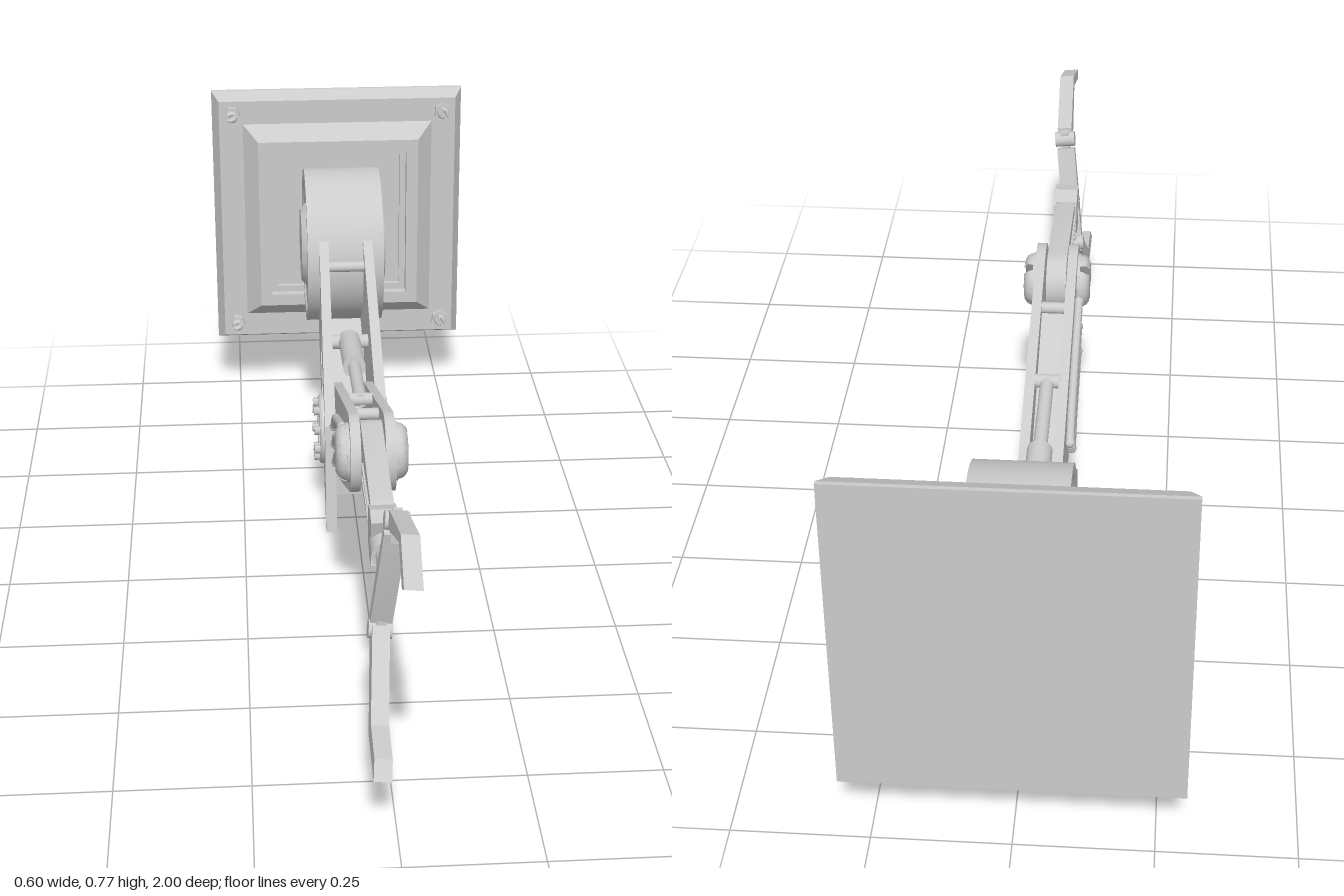
import * as THREE from 'three';
import { toCreasedNormals } from 'three/addons/utils/BufferGeometryUtils.js';

const mat = new THREE.MeshStandardMaterial({ color: 0xcccccc });
const flat = new THREE.MeshStandardMaterial({ color: 0xcccccc, flatShading: true });

function add(parent, name, geo, material = mat) {
  const mesh = new THREE.Mesh(geo, material);
  mesh.name = name;
  parent.add(mesh);
  return mesh;
}

// Side outline given as [z, y] points, extruded across x from x0 to x1
function slab(points, x0, x1, hole) {
  const toV = ([z, y]) => new THREE.Vector2(-z, y);
  const shape = new THREE.Shape(points.map(toV));
  if (hole) shape.holes.push(new THREE.Path(hole.map(toV)));
  const geo = new THREE.ExtrudeGeometry(shape, { depth: x1 - x0, bevelEnabled: false });
  geo.rotateY(Math.PI / 2).translate(x0, 0, 0);
  return toCreasedNormals(geo, 0.5);
}

// Outline wrapped around two circles, as [z, y] points
function link([az, ay], ra, [bz, by], rb, n = 14) {
  const d = Math.hypot(bz - az, by - ay), t = Math.atan2(by - ay, bz - az);
  const b = Math.acos((ra - rb) / d), pts = [];
  for (let i = 0; i <= n; i++) {
    const a = t + b + (2 * Math.PI - 2 * b) * i / n;
    pts.push([az + ra * Math.cos(a), ay + ra * Math.sin(a)]);
  }
  for (let i = 0; i <= n; i++) {
    const a = t - b + 2 * b * i / n;
    pts.push([bz + rb * Math.cos(a), by + rb * Math.sin(a)]);
  }
  return pts;
}

// Part turned about the x axis from [radius, x] points; dir -1 faces it to -x
function turned(parent, name, profile, x, y, z, dir = 1, sides = 40) {
  const geo = new THREE.LatheGeometry(profile.map(p => new THREE.Vector2(...p)), sides).rotateZ(-Math.PI / 2);
  const mesh = add(parent, name, toCreasedNormals(geo, 0.4));
  mesh.position.set(x, y, z);
  if (dir < 0) mesh.rotation.y = Math.PI;
  return mesh;
}

// Straight cylinder between two points
function rod(parent, name, a, b, r, sides = 20) {
  const A = new THREE.Vector3(...a), B = new THREE.Vector3(...b), dir = B.clone().sub(A);
  const mesh = add(parent, name, new THREE.CylinderGeometry(r, r, dir.length(), sides));
  mesh.position.copy(A).add(B).multiplyScalar(0.5);
  mesh.quaternion.setFromUnitVectors(new THREE.Vector3(0, 1, 0), dir.normalize());
  return mesh;
}

// Rounded screw head facing +z, split by a slot
function slottedHead(r, h, gap, bevel) {
  const head = new THREE.Group();
  const a = Math.asin(gap / r);
  for (const turn of [0, Math.PI]) {
    const shape = new THREE.Shape().absarc(0, 0, r, a, Math.PI - a, false);
    const geo = new THREE.ExtrudeGeometry(shape, {
      depth: h - bevel, bevelThickness: bevel, bevelSize: bevel, bevelOffset: -bevel, bevelSegments: 4, curveSegments: 20,
    });
    add(head, 'screwHalf', toCreasedNormals(geo, 0.5)).rotation.z = turn;
  }
  return head;
}

function wallMount() {
  const g = new THREE.Group();
  g.name = 'wallMount';
  // Stepped plate with a raised bevelled frame and sunken centre
  const profile = [[0, -1], [0.302, -1], [0.302, -0.992], [0.285, -0.957], [0.228, -0.957], [0.193, -0.92],
    [0.165, -0.92], [0.165, -0.942], [0.15, -0.942], [0.15, -0.955], [0, -0.955]];
  const geo = new THREE.LatheGeometry(profile.map(([r, z]) => new THREE.Vector2(r * Math.SQRT2, z)), 4, Math.PI / 4);
  geo.rotateX(Math.PI / 2);
  const p = geo.attributes.position;
  for (let i = 0; i < p.count; i++) {
    const y = p.getY(i);
    if (Math.abs(y) > 0.01) p.setY(i, y + Math.sign(y) * 0.018);
  }
  add(g, 'plate', geo, flat).position.y = 0.452;
  // Corner bolts
  for (const sx of [-1, 1]) for (const sy of [-1, 1]) {
    const bolt = new THREE.Group();
    bolt.name = 'cornerBolt';
    add(bolt, 'hexNut', new THREE.CylinderGeometry(0.021, 0.021, 0.016, 6).rotateX(Math.PI / 2), flat).position.z = 0.007;
    const head = slottedHead(0.014, 0.014, 0.003, 0.006);
    head.position.z = 0.014;
    bolt.add(head);
    bolt.position.set(sx * 0.254, 0.453 + sy * 0.27, -0.957);
    bolt.rotation.z = sx < 0 ? 0.4 : -1.1;
    g.add(bolt);
  }
  return g;
}

function upperArm() {
  const g = new THREE.Group();
  g.name = 'upperArm';
  // Plates close in slightly towards the shoulder
  const taper = geo => {
    const p = geo.attributes.position;
    for (let i = 0; i < p.count; i++) p.setX(i, p.getX(i) * (1 + 0.3 * (p.getZ(i) + 0.185)));
    return geo;
  };
  const outline = [[-0.217, 0.244], [-0.185, 0], [-0.8, 0.278], [-0.78, 0.45], [-0.635, 0.533]];
  const window = [[-0.385, 0.238], [-0.538, 0.362], [-0.568, 0.265], [-0.41, 0.185]];
  for (const s of [-1, 1]) {
    const [a, b] = s > 0 ? [0.046, 0.07] : [-0.07, -0.046];
    add(g, 'armPlate', taper(slab(outline, a, b, window)));
    add(g, 'windowPanel', taper(slab(window, s > 0 ? 0.046 : -0.054, s > 0 ? 0.054 : -0.046)));
  }
  add(g, 'lowerWeb', taper(slab([[-0.28, 0.043], [-0.28, 0.09], [-0.75, 0.32], [-0.8, 0.278]], -0.05, 0.05)));
  rod(g, 'crossBar', [-0.055, 0.47, -0.59], [0.055, 0.47, -0.59], 0.012);
  // Shoulder drum with a stepped boss on each face
  turned(g, 'shoulderDrum', [[0, -0.098], [0.085, -0.098], [0.1, -0.084], [0.155, -0.084], [0.16, -0.088], [0.18, -0.088],
    [0.18, 0.088], [0.16, 0.088], [0.155, 0.084], [0.1, 0.084], [0.085, 0.098], [0, 0.098]], 0, 0.4525, -0.785, 1, 64);
  // Elbow: plain cap on one side, bolted flange on the other
  rod(g, 'elbowAxle', [-0.065, 0.185, -0.33], [0.065, 0.185, -0.33], 0.04);
  turned(g, 'elbowCap', [[0.078, -0.01], [0.078, 0.002], [0.07, 0.008], [0.046, 0.008], [0.04, 0.014], [0, 0.014]], 0.066, 0.185, -0.33);
  turned(g, 'elbowFlange', [[0.078, -0.01], [0.078, 0.008], [0.074, 0.012], [0.046, 0.012], [0.042, 0.006], [0, 0.006]], -0.066, 0.185, -0.33, -1);
  for (let i = 0; i < 8; i++) {
    const a = (i + 0.5) * Math.PI / 4;
    rod(g, 'flangeBolt', [-0.076, 0.185 + 0.06 * Math.sin(a), -0.33 + 0.06 * Math.cos(a)],
      [-0.09, 0.185 + 0.06 * Math.sin(a), -0.33 + 0.06 * Math.cos(a)], 0.01, 6);
  }
  // Piston between the plates
  rod(g, 'pistonCylinder', [0, 0.348, -0.3], [0, 0.33, -0.49], 0.025);
  rod(g, 'pistonRod', [0, 0.368, -0.08], [0, 0.348, -0.3], 0.014);
  rod(g, 'pistonPin', [-0.05, 0.33, -0.48], [0.05, 0.33, -0.48], 0.016);
  return g;
}

function forearm() {
  const g = new THREE.Group();
  g.name = 'forearm';
  const front = [0.238, 0.41], rear = [-0.33, 0.185];
  const outline = link(front, 0.078, rear, 0.103);
  add(g, 'leftPlate', slab(outline, 0.024, 0.044));
  add(g, 'rightPlate', slab(outline, -0.044, -0.024));
  // Filler between the plates, open near the rear and at the wrist pivot
  add(g, 'innerWeb', slab([[0.12, 0.42], [0.12, 0.32], [-0.2, 0.2], [-0.2, 0.25]], -0.026, 0.026));
  rod(g, 'topBar', [-0.026, 0.425, 0.1], [0.026, 0.425, 0.1], 0.012);
  rod(g, 'rodPin', [-0.026, 0.368, -0.09], [0.026, 0.368, -0.09], 0.014);
  // Slotted pivot screws
  for (const s of [-1, 1]) {
    const head = slottedHead(0.056, 0.026, 0.006, 0.02);
    head.name = 'pivotScrew';
    const holder = new THREE.Group();
    holder.add(head);
    head.rotation.z = s * 1.0;
    holder.rotation.y = s * Math.PI / 2;
    holder.position.set(s * 0.044, front[1], front[0]);
    g.add(holder);
    turned(g, 'pivotWasher', [[0.058, -0.004], [0.058, 0.006], [0, 0.006]], s * 0.044, front[1], front[0], s);
  }
  // Three staggered pipes along the right side
  for (let i = 0; i < 3; i++) {
    const off = 0.045 - i * 0.04, z1 = 0.14 - i * 0.02, z0 = -0.12 + i * 0.03;
    const at = (z, d) => new THREE.Vector3(-0.051, 0.316 + 0.396 * z + d, z);
    const path = new THREE.CurvePath();
    const pts = [at(z1, off), at(z0, off), at(z0 - 0.045, off - 0.025)];
    path.add(new THREE.LineCurve3(pts[0], pts[1]));
    path.add(new THREE.LineCurve3(pts[1], pts[2]));
    add(g, 'sidePipe', new THREE.TubeGeometry(path, 24, 0.009, 8));
    for (const e of [pts[0], pts[2]]) add(g, 'pipeEnd', new THREE.SphereGeometry(0.011, 10, 8)).position.copy(e);
  }
  return g;
}

function wrist() {
  const g = new THREE.Group();
  g.name = 'wrist';
  add(g, 'wristArm', slab(link([0.238, 0.41], 0.062, [0.505, 0.41], 0.037), -0.021, 0.021));
  for (const s of [-1, 1]) for (const dy of [-0.013, 0.013]) {
    const rib = add(g, 'wristRib', new THREE.BoxGeometry(0.006, 0.006, 0.17));
    rib.position.set(s * 0.022, 0.411 + dy, 0.405);
  }
  add(g, 'wristBlock', slab([[0.51, 0.44], [0.56, 0.455], [0.597, 0.447], [0.585, 0.405], [0.597, 0.36], [0.55, 0.352], [0.51, 0.37]], -0.025, 0.025));
  rod(g, 'wristCollar', [0, 0.398, 0.57], [0, 0.396, 0.625], 0.027);
  rod(g, 'wristNeck', [0, 0.398, 0.58], [0, 0.394, 0.68], 0.019);
  return g;
}

function gripper() {
  // Pivots on the wrist axis so the hand can be rolled
  const g = new THREE.Group();
  g.name = 'gripper';
  g.position.y = 0.392;
  g.rotation.z = -0.1;
  const hand = new THREE.Group();
  hand.position.y = -0.392;
  g.add(hand);
  add(hand, 'palmBar', slab([[0.69, 0.49], [0.71, 0.485], [0.692, 0.385], [0.665, 0.28], [0.64, 0.285], [0.662, 0.395]], -0.02, 0.02));
  for (const [z, y] of [[0.703, 0.51], [0.655, 0.262]]) {
    add(hand, 'knuckleTab', new THREE.BoxGeometry(0.018, 0.06, 0.022)).position.set(0, y + (y > 0.4 ? -0.01 : 0.01), z);
    rod(hand, 'knucklePin', [-0.022, y, z], [0.022, y, z], 0.017);
  }
  add(hand, 'upperFinger', slab([[0.71, 0.534], [0.885, 0.583], [1, 0.545], [0.975, 0.532], [0.875, 0.562], [0.71, 0.498]], -0.016, 0.016));
  add(hand, 'lowerFinger', slab([[0.64, 0.247], [0.79, 0.126], [0.925, 0.122], [0.9, 0.152], [0.805, 0.157], [0.668, 0.277]], -0.016, 0.016));
  return g;
}

export function createModel() {
  const model = new THREE.Group();
  model.name = 'roboticArm';
  model.add(wallMount(), upperArm(), forearm(), wrist(), gripper());
  return model;
}
